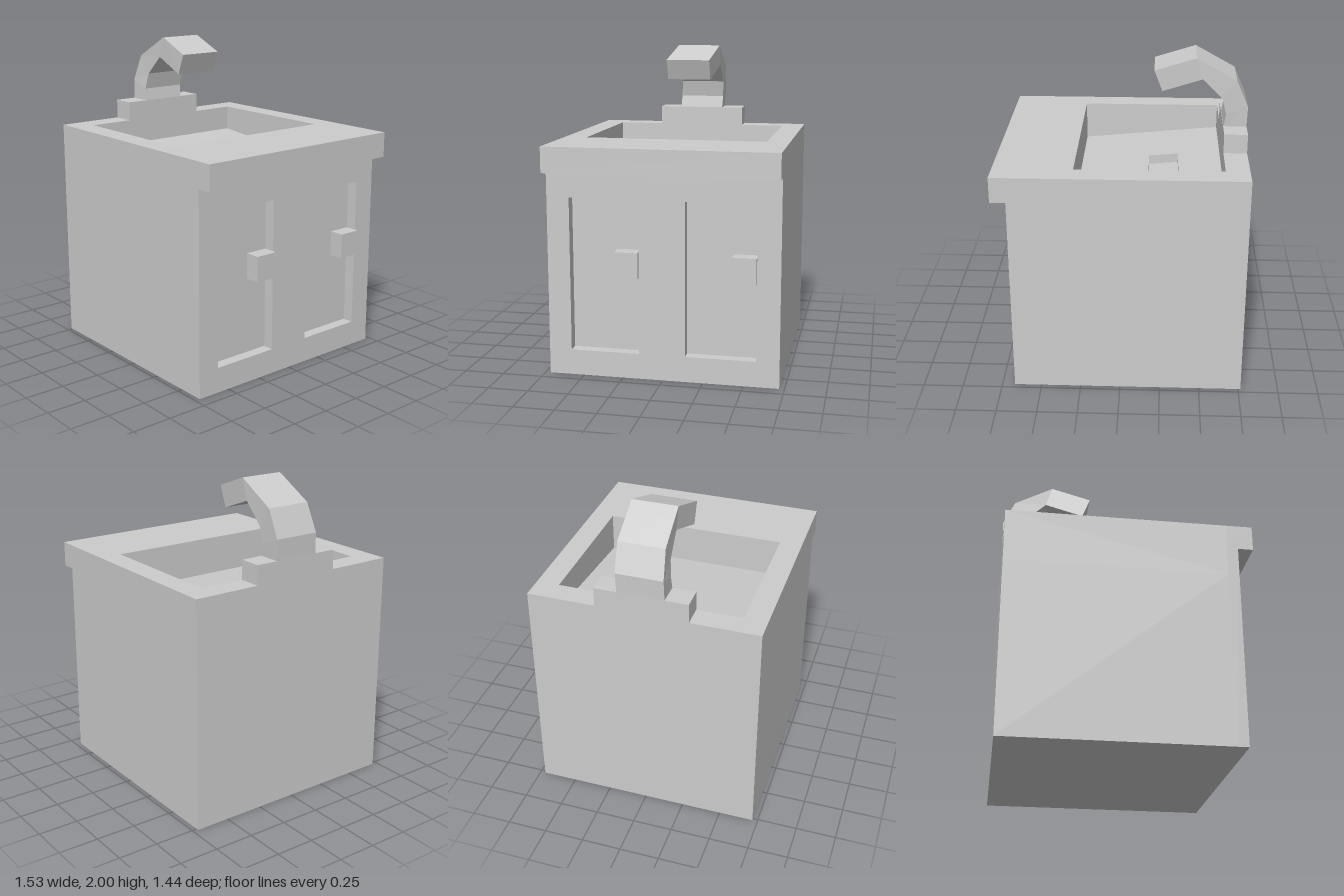
import * as THREE from 'three';

const material = new THREE.MeshStandardMaterial({ color: 0xcccccc, flatShading: true });

function add(group, name, geometry) {
  const mesh = new THREE.Mesh(geometry, material);
  mesh.name = name;
  group.add(mesh);
  return mesh;
}

// Box given by its limits on each axis
function box(x0, x1, y0, y1, z0, z1) {
  return new THREE.BoxGeometry(x1 - x0, y1 - y0, z1 - z0)
    .translate((x0 + x1) / 2, (y0 + y1) / 2, (z0 + z1) / 2);
}

function rect(Type, x0, x1, y0, y1) {
  const pts = [[x0, y0], [x1, y0], [x1, y1], [x0, y1]];
  return new Type(pts.map(([x, y]) => new THREE.Vector2(x, y)));
}

// Rectangular plate with rectangular holes, extruded along its own z
function plate(outer, holes, depth) {
  const shape = rect(THREE.Shape, ...outer);
  shape.holes = holes.map((h) => rect(THREE.Path, ...h));
  return new THREE.ExtrudeGeometry(shape, { depth, bevelEnabled: false });
}

// Tilt a level geometry so that it falls towards +x
function slope(geometry) {
  const p = geometry.attributes.position;
  for (let i = 0; i < p.count; i++) p.setY(i, p.getY(i) - 0.095 * (p.getX(i) + 0.62));
  geometry.computeVertexNormals();
  return geometry;
}

// Four-sided solid through a row of [outer x, outer y, inner x, inner y, back z, front z]
function sweep(sections) {
  const pos = [];
  const rings = sections.map(([ox, oy, ix, iy, z0, z1]) =>
    [[ox, oy, z0], [ox, oy, z1], [ix, iy, z1], [ix, iy, z0]]);
  const quad = (a, b, c, d) => pos.push(...a, ...b, ...c, ...a, ...c, ...d);
  for (let i = 0; i < rings.length - 1; i++) {
    const r = rings[i], s = rings[i + 1];
    for (let k = 0; k < 4; k++) {
      const n = (k + 1) % 4;
      quad(r[k], r[n], s[n], s[k]);
    }
  }
  const [a, b, c, d] = rings[0];
  quad(d, c, b, a);
  quad(...rings[rings.length - 1]);
  const g = new THREE.BufferGeometry();
  g.setAttribute('position', new THREE.Float32BufferAttribute(pos, 3));
  g.computeVertexNormals();
  return g;
}

export function createModel() {
  const group = new THREE.Group();
  const Z = 0.718;

  // Cabinet body
  add(group, 'cabinet', box(-0.765, 0.6, 0, 1.1, -Z, Z));

  // Door side with two recessed panels
  const doors = [[0.145, 0.577], [-0.575, -0.14]];
  add(group, 'doorFront', plate([-Z, Z, 0, 1.28],
    doors.map(([z0, z1]) => [-z1, -z0, 0.16, 1.12]), 0.07)
    .rotateY(Math.PI / 2).translate(0.6, 0, 0));

  // Door handles
  for (const [z0] of doors) {
    add(group, 'doorHandle', box(0.59, 0.695, 0.64, 0.8, z0, z0 + 0.147));
  }

  // Worktop around the basin, with an overhanging lip
  add(group, 'worktop', plate([-0.765, 0.6, -Z, Z], [[-0.62, 0.28, -0.575, 0.575]], 0.34)
    .rotateX(-Math.PI / 2).translate(0, 1.1, 0));
  add(group, 'worktopLip', box(0.6, 0.765, 1.28, 1.44, -Z, Z));

  // Sloping basin floor with a square drain
  add(group, 'basinFloor', slope(plate([-0.62, 0.28, -0.575, 0.575], [[-0.35, -0.16, -0.143, 0.148]], 0.08)
    .rotateX(-Math.PI / 2).translate(0, 1.2, 0)));
  add(group, 'drainBottom', slope(box(-0.36, -0.15, 1.205, 1.22, -0.16, 0.155)));

  // Tap base and bent spout
  add(group, 'tapBase', box(-0.765, -0.62, 1.43, 1.562, -0.29, 0.288));
  add(group, 'tapSpout', sweep([
    [-0.764, 1.5, -0.621, 1.5, -0.145, 0.145],
    [-0.765, 1.57, -0.622, 1.56, -0.148, 0.143],
    [-0.768, 1.69, -0.635, 1.64, -0.153, 0.14],
    [-0.695, 1.86, -0.61, 1.745, -0.158, 0.13],
    [-0.445, 2.0, -0.487, 1.868, -0.158, 0.125],
    [-0.19, 1.91, -0.24, 1.78, -0.13, 0.157],
  ]));
  return group;
}
